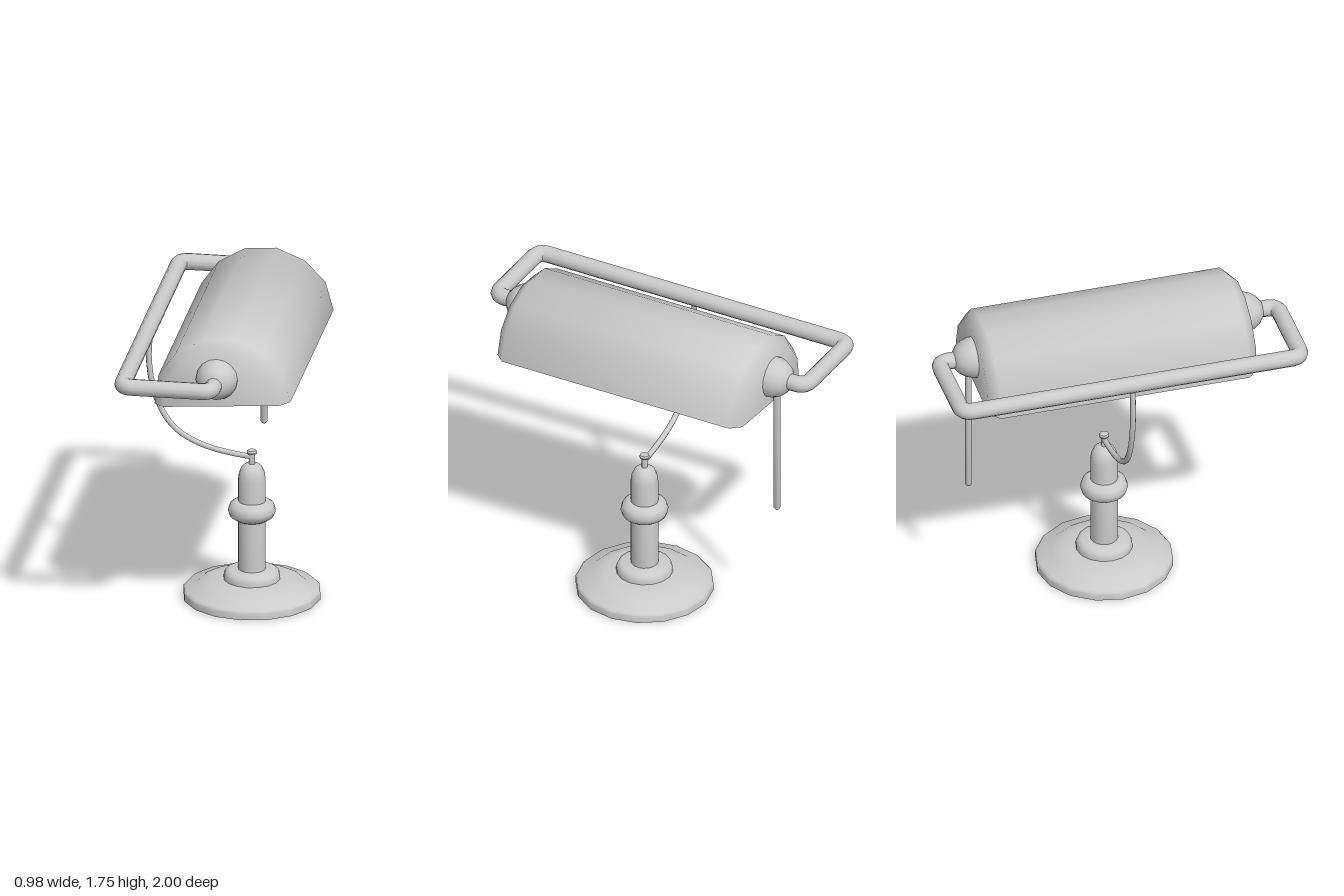
import * as THREE from 'three';
import { toCreasedNormals } from 'three/addons/utils/BufferGeometryUtils.js';

const material = new THREE.MeshStandardMaterial({ color: 0xcccccc });
const shadeMaterial = new THREE.MeshStandardMaterial({ color: 0xcccccc, side: THREE.DoubleSide });
const STAND_X = 0.11, ARM_X = 0.045, ARM_Y = 1.54;

function add(group, name, geometry, x = 0, y = 0, z = 0, mat = material) {
  const mesh = new THREE.Mesh(geometry, mat);
  mesh.name = name;
  mesh.position.set(x, y, z);
  group.add(mesh);
  return mesh;
}

function lathe(points, sides) {
  const geometry = new THREE.LatheGeometry(points.map(p => new THREE.Vector2(...p)), sides);
  return toCreasedNormals(geometry, 0.75);
}

// Hollow half-round shade: outer skin, inner skin and the rim joining them
function shadeGeometry() {
  const half = [[0.3735, 0], [0.341, 0.162], [0.236, 0.288], [0.085, 0.362]];
  const profile = [...half.map(([u, v]) => [-u, v]), ...half.slice().reverse()];
  const skin = (inset, endZ, bevelZ) => {
    const full = 1 - inset / 0.3735, bevel = full - 0.055 / 0.3735;
    const sections = [[0, -endZ], [bevel, -endZ], [full, -bevelZ],
      [full, bevelZ], [bevel, endZ], [0, endZ]];
    return sections.map(([s, z]) => profile.map(([u, v]) => new THREE.Vector3(u * s, v * s, z)));
  };
  const outer = skin(0, 0.755, 0.7), inner = skin(0.028, 0.727, 0.68);
  const positions = [];
  const tri = (a, b, c) => {
    if (a.equals(b) || b.equals(c) || a.equals(c)) return;
    for (const p of [a, b, c]) positions.push(p.x, p.y, p.z);
  };
  const quad = (a, b, c, d) => { tri(a, b, c); tri(a, c, d); };
  const last = profile.length - 1;
  for (let k = 0; k < outer.length - 1; k++) {
    const o = outer[k], o2 = outer[k + 1], n = inner[k], n2 = inner[k + 1];
    for (let i = 0; i < last; i++) {
      quad(o[i], o2[i], o2[i + 1], o[i + 1]);
      quad(n[i], n[i + 1], n2[i + 1], n2[i]);
    }
    quad(o[last], o2[last], n2[last], n[last]);
    quad(o[0], n[0], n2[0], o2[0]);
  }
  const geometry = new THREE.BufferGeometry();
  geometry.setAttribute('position', new THREE.Float32BufferAttribute(positions, 3));
  return toCreasedNormals(geometry, 0.9);
}

// Polyline path with rounded corners
function roundedPath(corners, r) {
  const path = new THREE.CurvePath();
  let from = corners[0];
  for (let i = 1; i < corners.length - 1; i++) {
    const c = corners[i];
    const before = c.clone().add(corners[i - 1].clone().sub(c).setLength(r));
    const after = c.clone().add(corners[i + 1].clone().sub(c).setLength(r));
    path.add(new THREE.LineCurve3(from, before));
    path.add(new THREE.QuadraticBezierCurve3(before, c, after));
    from = after;
  }
  path.add(new THREE.LineCurve3(from, corners[corners.length - 1]));
  return path;
}

export function createModel() {
  const lamp = new THREE.Group();
  lamp.name = 'deskLamp';

  // Stand
  add(lamp, 'base', lathe([[0, 0], [0.375, 0], [0.375, 0.04], [0.362, 0.054], [0.305, 0.065],
    [0.285, 0.08], [0.22, 0.098], [0.155, 0.104], [0.154, 0.125], [0.145, 0.147],
    [0.125, 0.158], [0.07, 0.16]], 16), STAND_X);
  add(lamp, 'post', lathe([[0.075, 0.15], [0.075, 0.68], [0.07, 0.715], [0.055, 0.748],
    [0.035, 0.765], [0, 0.765]], 16), STAND_X);
  const collar = new THREE.TorusGeometry(0.075, 0.055, 10, 20);
  collar.rotateX(Math.PI / 2);
  add(lamp, 'postCollar', collar, STAND_X, 0.5);
  add(lamp, 'finial', lathe([[0.016, 0.75], [0.016, 0.82], [0.026, 0.824], [0.029, 0.833],
    [0.024, 0.843], [0, 0.845]], 12), STAND_X);

  // Curved stem from the finial to the frame
  const stem = new THREE.CatmullRomCurve3([[0.11, 0.805], [0, 0.82], [-0.11, 0.843],
    [-0.22, 0.885], [-0.31, 0.945], [-0.375, 1.03], [-0.43, 1.17], [-0.455, 1.34],
    [-0.445, 1.53]].map(([x, y]) => new THREE.Vector3(x, y, 0)));
  add(lamp, 'curvedStem', new THREE.TubeGeometry(stem, 32, 0.016, 8));

  // Tubular frame around the back of the shade
  const corners = [[ARM_X, -0.8], [ARM_X, -0.954], [-0.445, -0.954],
    [-0.445, 0.954], [ARM_X, 0.954], [ARM_X, 0.8]]
    .map(([x, z]) => new THREE.Vector3(x, ARM_Y, z));
  add(lamp, 'frame', new THREE.TubeGeometry(roundedPath(corners, 0.06), 180, 0.046, 12));

  // Shade, slightly tilted
  const shade = add(lamp, 'shade', shadeGeometry(), 0.067, 1.383, 0, shadeMaterial);
  shade.rotation.z = 0.073;

  // Domed pivots on both ends
  for (const side of [-1, 1]) {
    const dome = lathe([[0.115, 0.74], [0.113, 0.775], [0.1, 0.81], [0.078, 0.842],
      [0.048, 0.865], [0, 0.867]], 16);
    dome.rotateX(side * Math.PI / 2);
    add(lamp, side > 0 ? 'frontPivot' : 'backPivot', dome, ARM_X, ARM_Y);
  }

  // Pull rod hanging from the back pivot
  add(lamp, 'pullRod', lathe([[0, 0.7], [0.012, 0.7], [0.0185, 0.71], [0.0185, 1.5], [0, 1.5]], 10),
    ARM_X, 0, -0.782);

  return lamp;
}
